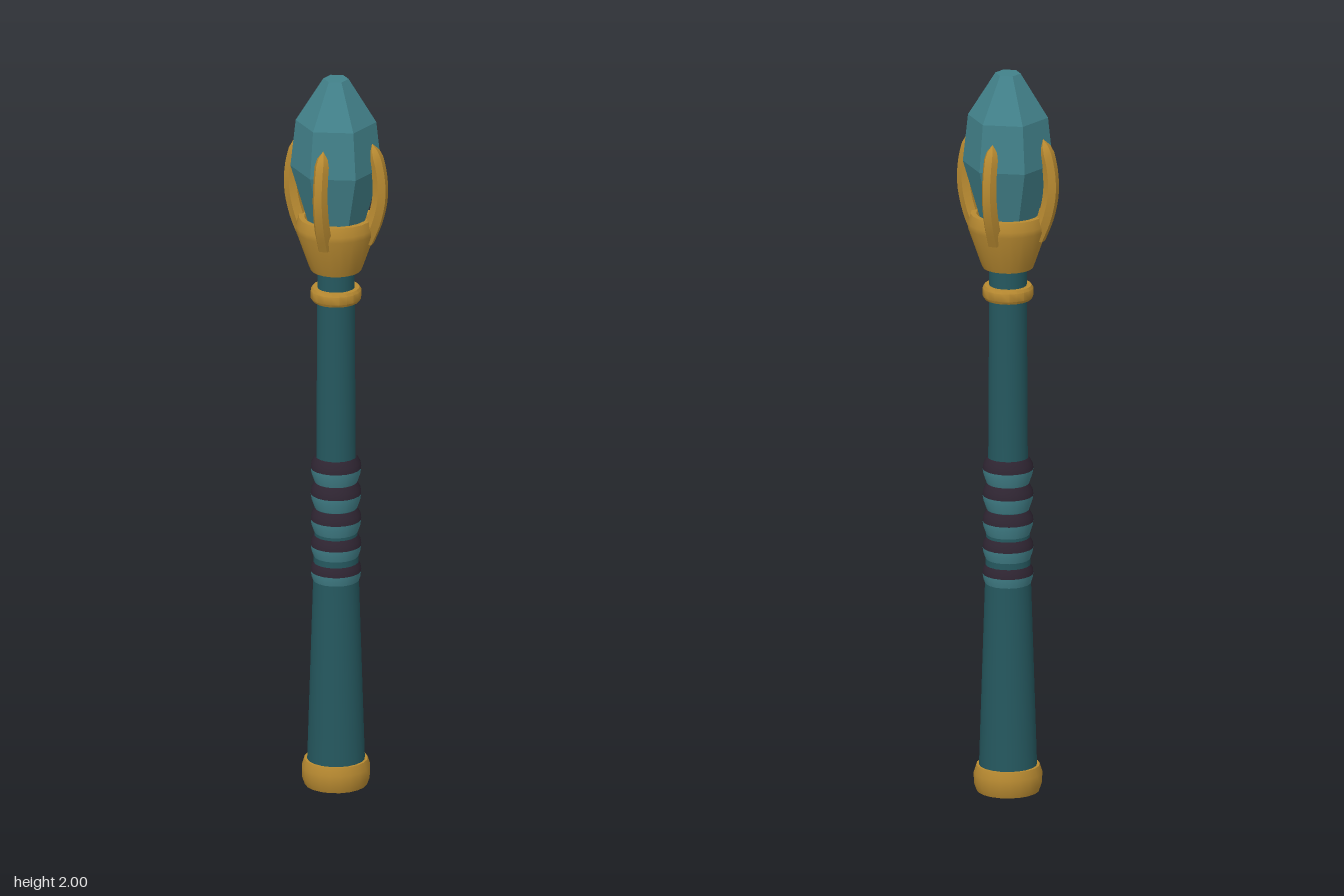
import * as THREE from 'three';
import { toCreasedNormals } from 'three/addons/utils/BufferGeometryUtils.js';

const mat = (name, color) => {
  const m = new THREE.MeshStandardMaterial({ color });
  m.name = name;
  return m;
};

export function createModel() {
  const teal = mat('dark teal', 0x25585f);
  const gemTeal = mat('light teal', 0x42818a);
  const gold = mat('gold', 0xb88a31);
  const plum = mat('dark plum', 0x2f2532);
  const group = new THREE.Group();

  // Turned part from a [radius, height] profile, listed from bottom to top
  const turned = (name, material, profile, sides = 20, crease = 0.6) => {
    const points = profile.map(([r, y]) => new THREE.Vector2(r, y));
    const geo = toCreasedNormals(new THREE.LatheGeometry(points, sides), crease);
    const mesh = new THREE.Mesh(geo, material);
    mesh.name = name;
    group.add(mesh);
    return mesh;
  };

  // Pommel and shaft
  turned('pommel', gold, [[0, 0], [0.084, 0], [0.091, 0.02], [0.092, 0.05], [0.085, 0.072], [0, 0.072]]);
  turned('shaft', teal, [[0.078, 0.06], [0.062, 0.57], [0.053, 0.92], [0.05, 1.48]]);

  // Grip: flared bands, each with a dark upper slope
  const pitch = 0.073;
  for (let i = 0; i < 5; i++) {
    const y = 0.565 + i * pitch;
    turned('gripBand', gemTeal, [[0.057, y], [0.066, y + 0.026], [0.068, y + 0.04]]);
    turned('gripStripe', plum, [[0.068, y + 0.04], [0.066, y + 0.055], [0.056, y + pitch]]);
  }

  // Collar ring below the head
  turned('collar', gold, [[0.045, 1.372], [0.063, 1.372], [0.068, 1.38], [0.068, 1.402], [0.063, 1.41], [0.045, 1.41]]);

  // Cup that holds the gem
  turned('cup', gold, [[0, 1.46], [0.068, 1.46], [0.074, 1.475], [0.107, 1.57], [0.108, 1.585],
    [0.1, 1.61], [0.085, 1.61], [0.07, 1.575], [0, 1.565]]);

  // Six-sided gem
  turned('gem', gemTeal, [[0, 1.54], [0.06, 1.54], [0.122, 1.75], [0.108, 1.88], [0.034, 2], [0, 2]], 6, 0.01);

  // Four curved claws, hexagonal in section and closed at the tip
  const path = new THREE.CatmullRomCurve3([
    [0.085, 1.55], [0.11, 1.61], [0.125, 1.68], [0.122, 1.75], [0.102, 1.828],
  ].map(([r, y]) => new THREE.Vector3(r, y, 0)));
  const steps = 14, sides = 6;
  const tube = new THREE.TubeGeometry(path, steps, 0.023, sides, false);
  const pos = tube.attributes.position;
  const p = new THREE.Vector3();
  for (let i = 0; i <= steps; i++) {
    const centre = path.getPointAt(i / steps);
    const scale = i === steps ? 0 : i === steps - 1 ? 0.65 : 1 - 0.15 * i / steps;
    for (let j = 0; j <= sides; j++) {
      const k = i * (sides + 1) + j;
      p.fromBufferAttribute(pos, k).sub(centre).multiplyScalar(scale).add(centre);
      pos.setXYZ(k, p.x, p.y, p.z);
    }
  }
  const clawGeo = toCreasedNormals(tube, 0.7);
  for (let i = 0; i < 4; i++) {
    const claw = new THREE.Mesh(clawGeo, gold);
    claw.name = 'claw';
    claw.rotation.y = Math.PI / 4 + i * Math.PI / 2;
    group.add(claw);
  }
  return group;
}
